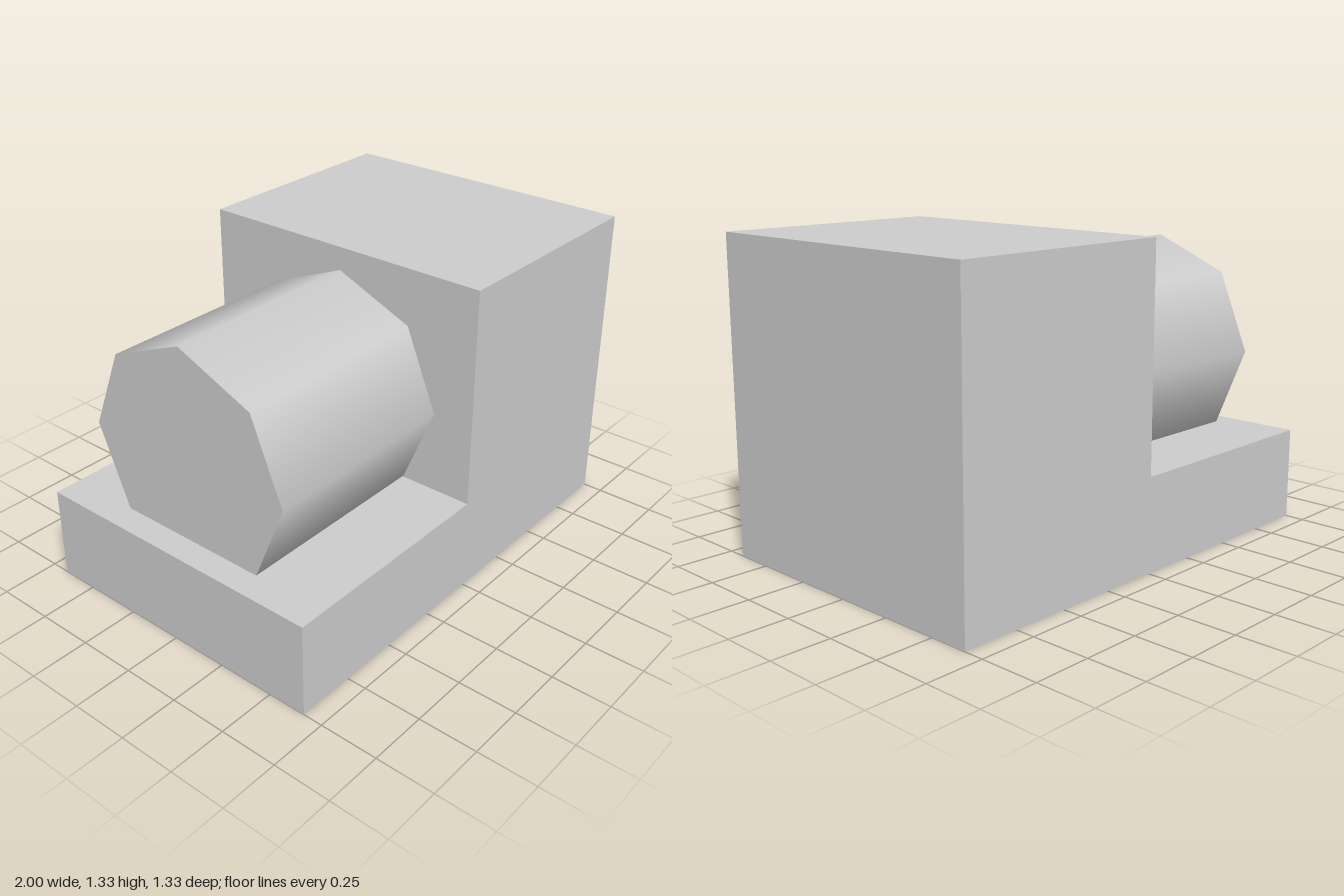
import * as THREE from 'three';

const DEPTH = 1.333;
const STEP = 0.4;
const TOP = 1.333;
// Stepped side outline, open along the underside
const PROFILE = [[-1, 0], [-1, STEP], [0, STEP], [0, TOP], [1, TOP], [1, 0]];

const BARREL = { radius: 0.486, length: 0.89, y: 0.748 };

export function createModel() {
  const model = new THREE.Group();
  const grey = new THREE.MeshStandardMaterial({ color: 0xcccccc, side: THREE.DoubleSide });
  grey.name = 'plain grey';

  const add = (parent, name, geometry, x = 0, y = 0, z = 0) => {
    const mesh = new THREE.Mesh(geometry, grey);
    mesh.name = name;
    mesh.position.set(x, y, z);
    parent.add(mesh);
    return mesh;
  };

  // Hollow stepped housing: front and back walls
  const housing = new THREE.Group();
  housing.name = 'housing';
  model.add(housing);
  const outline = new THREE.Shape(PROFILE.map(([x, y]) => new THREE.Vector2(x, y)));
  add(housing, 'frontWall', new THREE.ShapeGeometry(outline), 0, 0, DEPTH / 2);
  add(housing, 'backWall', new THREE.ShapeGeometry(outline).rotateY(Math.PI), 0, 0, -DEPTH / 2)
    .geometry.scale(-1, 1, 1).scale(1, 1, 1);
  // Restore outward winding on the mirrored back wall
  const back = housing.getObjectByName('backWall').geometry;
  back.setIndex(Array.from(back.index.array).reverse());
  back.computeVertexNormals();

  // One panel per segment of the outline, facing outward
  const panelNames = ['lowEnd', 'platform', 'stepWall', 'roof', 'tallEnd'];
  panelNames.forEach((name, i) => {
    const [ax, ay] = PROFILE[i];
    const [bx, by] = PROFILE[i + 1];
    const panel = new THREE.PlaneGeometry(Math.hypot(bx - ax, by - ay), DEPTH)
      .rotateX(-Math.PI / 2)
      .rotateZ(Math.atan2(by - ay, bx - ax));
    add(housing, name, panel, (ax + bx) / 2, (ay + by) / 2);
  });

  // Eight-sided barrel with its lowest corner cut flat above the platform
  const { radius, length, y } = BARREL;
  const barrel = new THREE.Group();
  barrel.name = 'barrel';
  barrel.position.set(-length / 2, y, 0);
  model.add(barrel);

  const start = -Math.PI / 4;
  const sweep = Math.PI * 1.5;
  add(barrel, 'barrelSide',
    new THREE.CylinderGeometry(radius, radius, length, 6, 1, true, start, sweep).rotateZ(Math.PI / 2));

  const corners = [];
  for (let i = 0; i <= 6; i++) {
    const a = start + (sweep * i) / 6;
    corners.push(new THREE.Vector2(radius * Math.cos(a), radius * Math.sin(a)));
  }
  add(barrel, 'barrelEnd',
    new THREE.ShapeGeometry(new THREE.Shape(corners)).rotateY(-Math.PI / 2), -length / 2);

  const flat = radius * Math.SQRT1_2;
  add(barrel, 'barrelUnderside',
    new THREE.PlaneGeometry(length, flat * 2).rotateX(Math.PI / 2), 0, -flat);

  return model;
}
